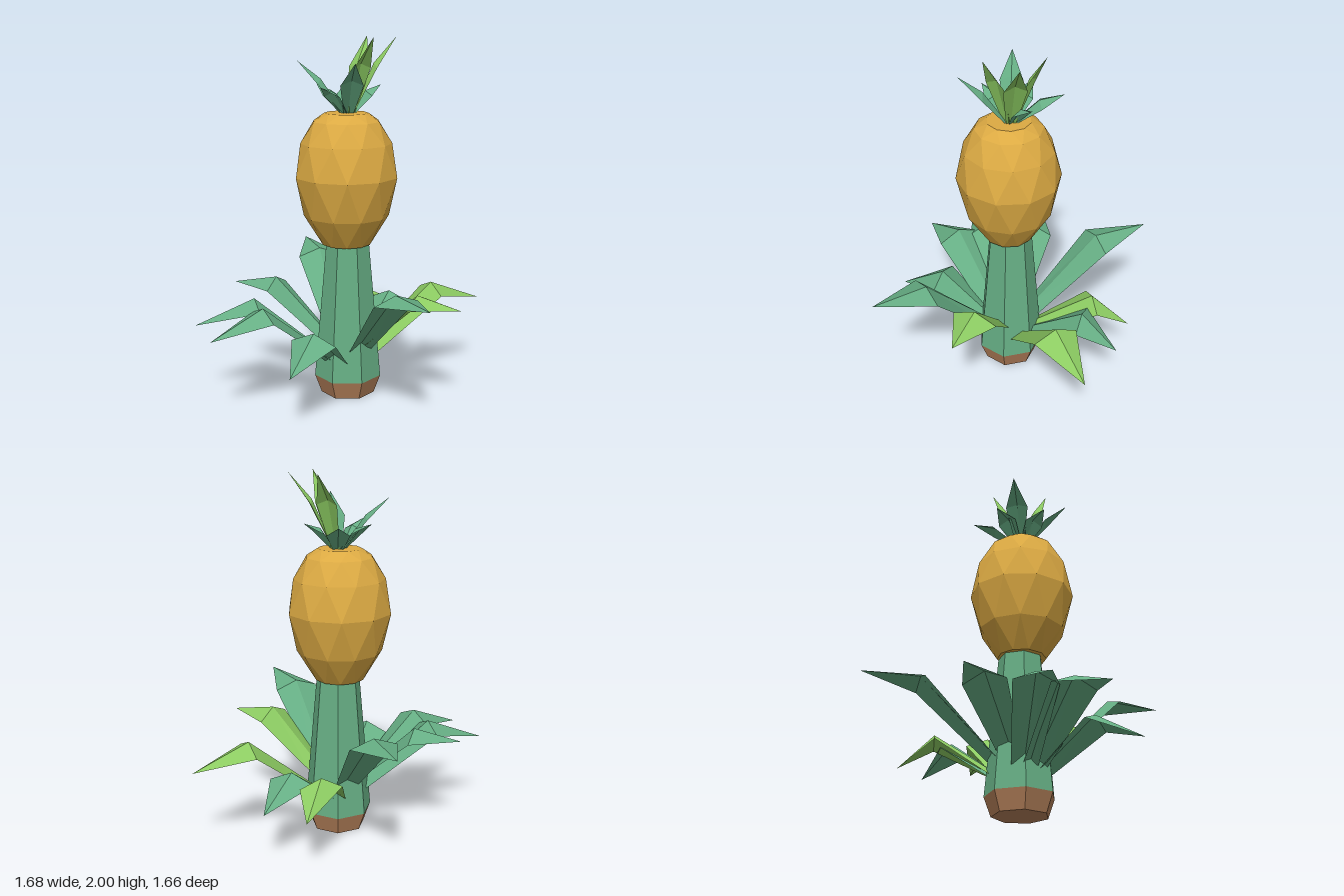
import * as THREE from 'three';

const mat = (name, color, extra = {}) =>
  Object.assign(new THREE.MeshStandardMaterial({ color, flatShading: true, ...extra }), { name });

export function createModel() {
  const root = new THREE.Group();
  root.name = 'pineapplePlant';
  const green = mat('leafGreen', 0x66ae84, { side: THREE.DoubleSide });
  const lime = mat('limeGreen', 0x8ccb62, { side: THREE.DoubleSide });
  const gold = mat('fruitGold', 0xdcaa43);
  const brown = mat('rootBrown', 0xb5815a);

  const add = (name, geometry, material) => {
    const mesh = new THREE.Mesh(geometry, material);
    mesh.name = name;
    root.add(mesh);
    return mesh;
  };
  const facets = (triangles) => {
    const g = new THREE.BufferGeometry();
    g.setAttribute('position', new THREE.Float32BufferAttribute(triangles.flat(2), 3));
    g.computeVertexNormals();
    return g;
  };

  // Seven-sided root and tapering stem
  const CX = 0.01, CZ = -0.015;
  const ring7 = (name, rTop, rBottom, y0, y1, material) =>
    add(name, new THREE.CylinderGeometry(rTop, rBottom, y1 - y0, 7, 1, false, Math.PI / 2), material)
      .position.set(CX, (y0 + y1) / 2, CZ);
  ring7('root', 0.19, 0.152, 0, 0.105, brown);
  ring7('stem', 0.12, 0.19, 0.105, 0.89, green);

  // Fruit: staggered ten-sided rings of triangles with flat ends
  const profile = [[0.135, 0.87], [0.235, 1.03], [0.287, 1.25], [0.25, 1.43], [0.185, 1.55], [0.12, 1.595]];
  const N = 10;
  const at = (row, i) => {
    const a = (i + row / 2) / N * Math.PI * 2;
    const [r, y] = profile[row];
    return [r * Math.sin(a), y, CZ + r * Math.cos(a)];
  };
  const tris = [];
  const last = profile.length - 1;
  for (let i = 0; i < N; i++) {
    for (let k = 0; k < last; k++) {
      tris.push([at(k, i), at(k, i + 1), at(k + 1, i)]);
      tris.push([at(k, i + 1), at(k + 1, i + 1), at(k + 1, i)]);
    }
    tris.push([[0, profile[0][1], CZ], at(0, i + 1), at(0, i)]);
    tris.push([[0, profile[last][1], CZ], at(last, i), at(last, i + 1)]);
  }
  add('fruit', facets(tris), gold);

  // Leaf: two folded halves from base to middle, then to a pointed tip
  const leaf = (name, base, mid, tip, material) => {
    const [bl, bc, br] = base, [ml, mc, mr] = mid;
    add(name, facets([
      [bl, bc, mc], [bl, mc, ml], [bc, br, mr], [bc, mr, mc],
      [ml, mc, tip], [mc, mr, tip],
    ]), material);
  };

  // Stem leaf levels: base height, ridge height, side height, tip height
  const high = [0.30, 0.71, 0.665, 0.71];
  const upper = [0.33, 0.63, 0.575, 0.58];
  const middle = [0.24, 0.58, 0.525, 0.45];
  const low = [0.23, 0.475, 0.42, 0.315];
  // Each: level, tip x z, left middle x z, right middle x z, colour
  [
    [high, [0.29, -0.83], [0.06, -0.57], [0.31, -0.49], green],
    [high, [-0.13, 0.83], [0.05, 0.53], [-0.21, 0.49], green],
    [middle, [0.84, 0.18], [0.56, -0.02], [0.50, 0.23], lime],
    [middle, [-0.84, -0.08], [-0.54, 0.07], [-0.51, -0.19], green],
    [middle, [-0.77, -0.37], [-0.50, -0.13], [-0.43, -0.36], green],
    [upper, [-0.375, -0.60], [-0.33, -0.325], [-0.12, -0.455], green],
    [upper, [0.285, 0.62], [0.30, 0.33], [0.06, 0.435], lime],
    [low, [0.555, -0.455], [0.27, -0.385], [0.47, -0.28], lime],
    [low, [0.67, -0.24], [0.385, -0.285], [0.51, -0.07], green],
    [low, [-0.605, 0.31], [-0.31, 0.305], [-0.43, 0.07], green],
  ].forEach(([[yb, yr, ys, yt], t, l, r, material], i) => {
    const cx = (l[0] + r[0]) / 2, cz = (l[1] + r[1]) / 2;
    const d = Math.hypot(cx - CX, cz - CZ);
    const dx = (cx - CX) / d, dz = (cz - CZ) / d;
    const b = (side, y) => [CX + dx * 0.15 - dz * side, y, CZ + dz * 0.15 + dx * side];
    leaf('stemLeaf' + (i + 1),
      [b(-0.07, yb - 0.015), b(0, yb + 0.02), b(0.07, yb - 0.015)],
      [[l[0], ys, l[1]], [cx, yr, cz], [r[0], ys, r[1]]],
      [t[0], yt, t[1]], material);
  });

  // Crown leaves: tip position, middle height, colour
  [
    [[0.03, 2.0, 0.18], 1.85, lime],
    [[0.235, 2.0, 0.12], 1.85, lime],
    [[0.20, 2.0, -0.09], 1.85, lime],
    [[-0.12, 1.87, 0.22], 1.765, green],
    [[-0.19, 1.87, -0.20], 1.765, green],
    [[0.18, 1.74, -0.235], 1.70, green],
    [[0.21, 1.74, 0.02], 1.70, green],
    [[-0.05, 1.74, -0.22], 1.70, green],
    [[-0.19, 1.74, 0.01], 1.70, green],
  ].forEach(([tip, ym, material], i) => {
    const x = tip[0] - CX, z = tip[2] - CZ, d = Math.hypot(x, z);
    const p = (out, side, y) =>
      [CX + (x * out - z * side) / d, y, CZ + (z * out + x * side) / d];
    const m = d * 0.57;
    leaf('crownLeaf' + (i + 1),
      [p(0.025, -0.025, 1.585), p(0.02, 0, 1.59), p(0.025, 0.025, 1.585)],
      [p(m, -0.062, ym - 0.015), p(m - 0.01, 0, ym + 0.01), p(m, 0.062, ym - 0.015)],
      tip, material);
  });

  return root;
}
